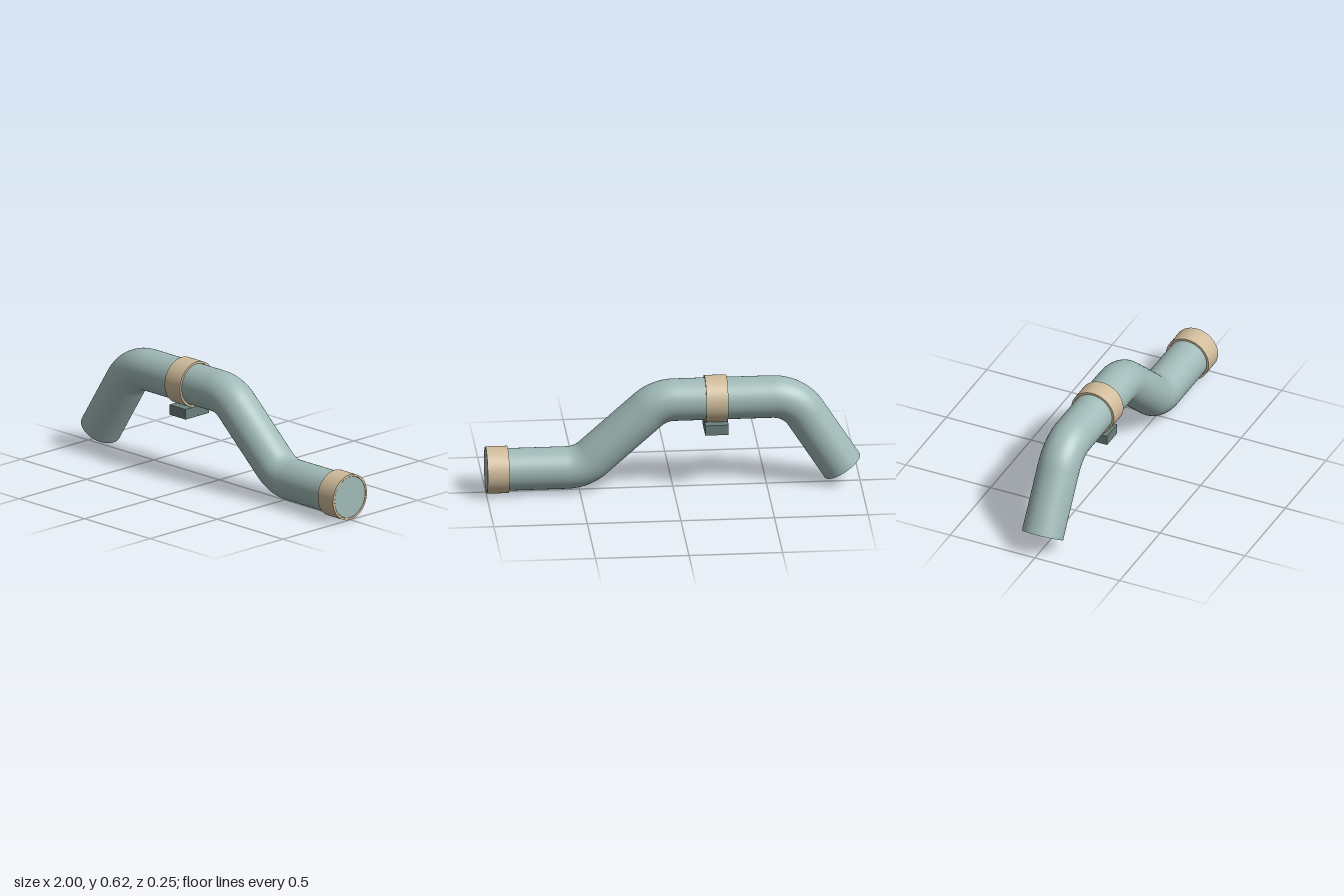
import * as THREE from 'three';

const R = 0.113;      // pipe radius
const BEND = 0.21;    // centre-line bend radius
const TOP = 0.497, LOW = 0.128;

function material(name, color) {
  const m = new THREE.MeshStandardMaterial({ color });
  m.name = name;
  return m;
}

// Planar 2D path lifted into the z = 0 plane
class PlanarCurve extends THREE.Curve {
  constructor(path) { super(); this.path = path; this.arcLengthDivisions = 600; }
  getPoint(t, target = new THREE.Vector3()) {
    const p = this.path.getPoint(t);
    return target.set(p.x, p.y, 0);
  }
}

// Straight runs joined by circular fillets at the inner corners
function roundedPath(points, radius) {
  const path = new THREE.Path().moveTo(points[0].x, points[0].y);
  for (let i = 1; i < points.length - 1; i++) {
    const c = points[i];
    const a = Math.atan2(c.y - points[i - 1].y, c.x - points[i - 1].x);
    const b = Math.atan2(points[i + 1].y - c.y, points[i + 1].x - c.x);
    const s = Math.sign(b - a);
    const t = radius * Math.tan(Math.abs(b - a) / 2);
    const sx = c.x - t * Math.cos(a), sy = c.y - t * Math.sin(a);
    path.lineTo(sx, sy);
    path.absarc(sx - s * radius * Math.sin(a), sy + s * radius * Math.cos(a), radius,
      a - s * Math.PI / 2, b - s * Math.PI / 2, s < 0);
  }
  const end = points[points.length - 1];
  path.lineTo(end.x, end.y);
  return path;
}

export function createModel() {
  const group = new THREE.Group();
  const pipeMat = material('pipe grey green', 0xa0bab7);
  const collarMat = material('collar tan', 0xd0bc9b);
  const bracketMat = material('bracket dark green', 0x6b807c);

  function add(name, geometry, mat, x = 0, y = 0) {
    const mesh = new THREE.Mesh(geometry, mat);
    mesh.name = name;
    mesh.position.set(x, y, 0);
    group.add(mesh);
    return mesh;
  }

  // Bent pipe
  const points = [[-0.905, 0.09], [-0.646, TOP], [0.075, TOP], [0.487, LOW], [0.998, LOW]]
    .map(([x, y]) => new THREE.Vector2(x, y));
  const curve = new PlanarCurve(roundedPath(points, BEND));
  add('pipe', new THREE.TubeGeometry(curve, 160, R, 64), pipeMat);

  // Flat pipe ends
  [['outletEnd', points[0], points[1]], ['inletEnd', points[4], points[3]]].forEach(([name, p, next]) => {
    const cap = add(name, new THREE.CircleGeometry(R, 64), pipeMat, p.x, p.y);
    const out = new THREE.Vector3(p.x - next.x, p.y - next.y, 0).normalize();
    cap.quaternion.setFromUnitVectors(new THREE.Vector3(0, 0, 1), out);
  });

  // Collars: square-edged rings around the pipe
  const ring = new THREE.Shape().absarc(0, 0, 0.126, 0, Math.PI * 2);
  ring.holes.push(new THREE.Path().absarc(0, 0, R + 0.0015, 0, Math.PI * 2, true));
  const collarGeometry = new THREE.ExtrudeGeometry(ring, { depth: 0.117, bevelEnabled: false, curveSegments: 64 });
  collarGeometry.rotateY(Math.PI / 2);
  // Smooth the curved walls, leaving the end rings flat
  const pos = collarGeometry.attributes.position, nor = collarGeometry.attributes.normal;
  for (let i = 0; i < pos.count; i++) {
    if (Math.abs(nor.getX(i)) > 0.5) continue;
    const y = pos.getY(i), z = pos.getZ(i), r = Math.hypot(y, z);
    const s = r > 0.12 ? 1 : -1;
    nor.setXYZ(i, 0, s * y / r, s * z / r);
  }
  add('middleCollar', collarGeometry, collarMat, -0.287, TOP);
  add('endCollar', collarGeometry, collarMat, 0.882, LOW);

  // Support block under the middle collar
  add('bracket', new THREE.BoxGeometry(0.125, 0.056, 0.175), bracketMat, -0.2285, 0.348);

  return group;
}
